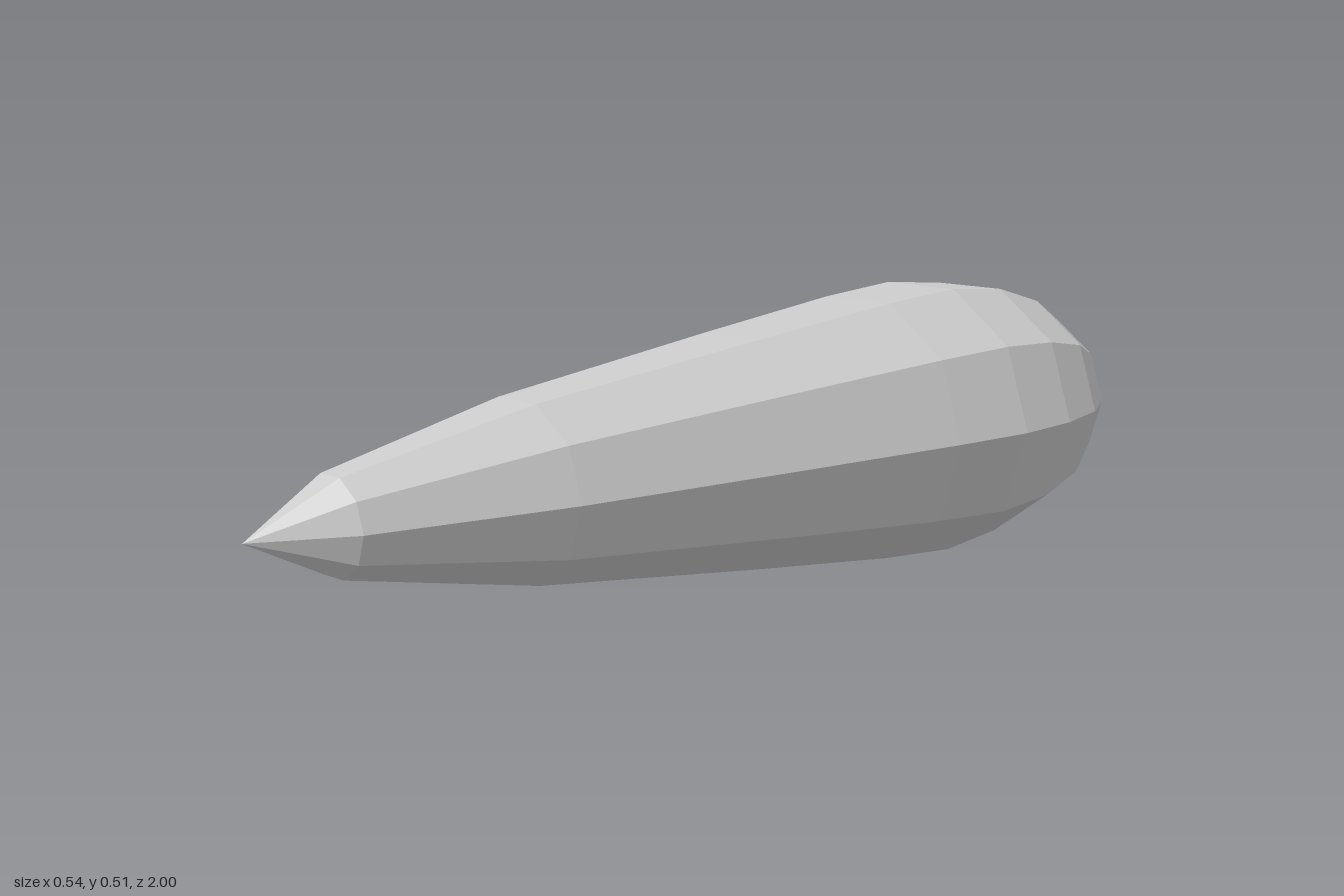
import * as THREE from 'three';

const SIDES = 10;
const RINGS = 10;
const RADIUS = 0.268;
const CENTRE_Y = RADIUS * Math.cos(Math.PI / SIDES);

// Ring positions along z, from the rounded back to the pointed front
const RING_Z = [-1, -0.976, -0.907, -0.8, -0.665, -0.515, -0.335, 0, 0.485, 0.845, 1];

export function createModel() {
  const group = new THREE.Group();
  group.name = 'teardrop';

  // Radii follow a sphere; the uneven ring spacing stretches it to a drop
  const profile = RING_Z.map((z, i) => {
    const radius = i === 0 || i === RINGS ? 0 : RADIUS * Math.sin((Math.PI * i) / RINGS);
    return new THREE.Vector2(radius, z);
  });

  // Lathe around y, then lay the axis along z with corners on the x axis
  const geometry = new THREE.LatheGeometry(profile, SIDES, Math.PI / 2);
  geometry.rotateX(Math.PI / 2);
  geometry.translate(0, CENTRE_Y, 0);

  const body = new THREE.Mesh(
    geometry,
    new THREE.MeshStandardMaterial({ color: 0xcccccc, flatShading: true })
  );
  body.name = 'teardropBody';
  group.add(body);
  return group;
}
